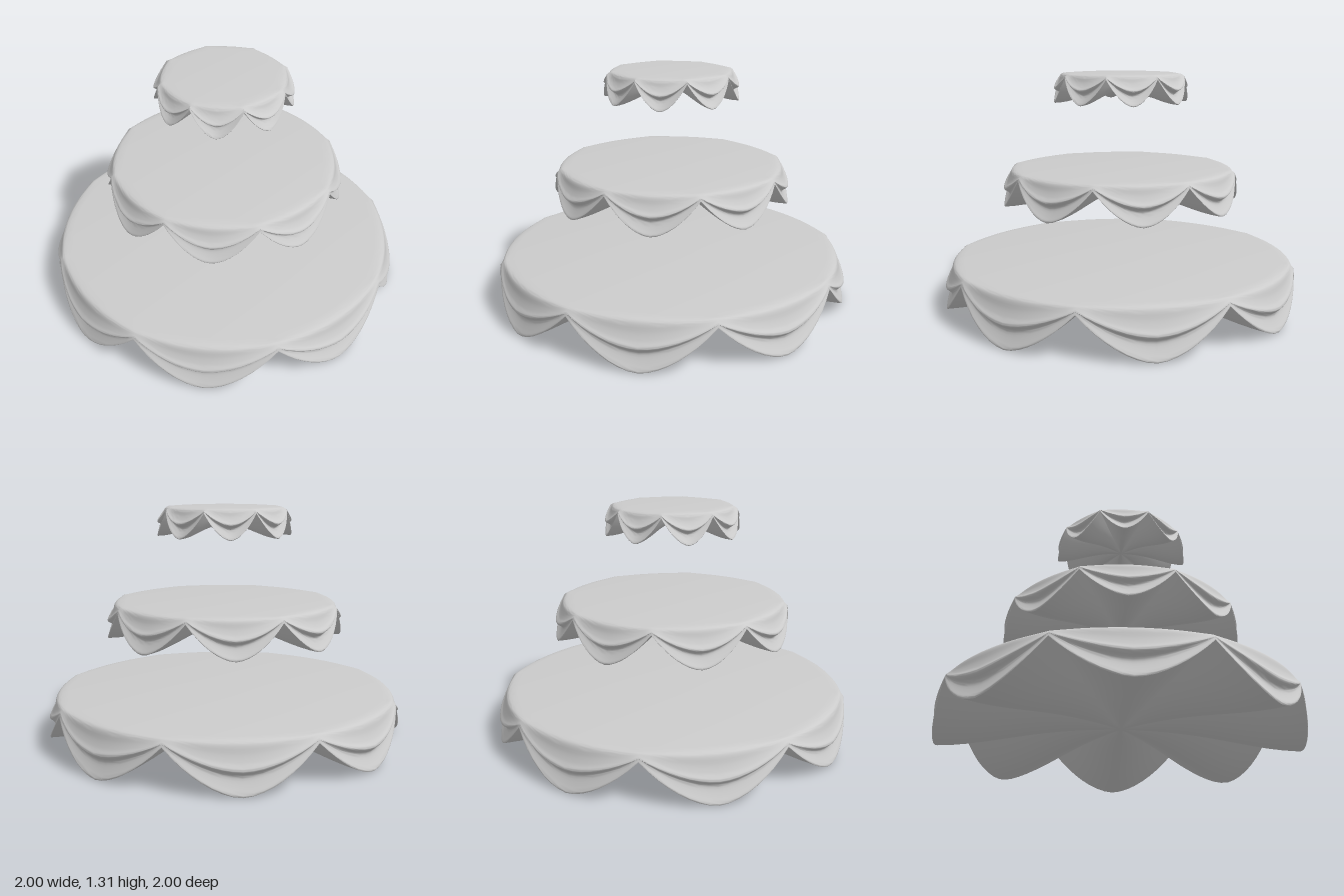
import * as THREE from 'three';
import { toCreasedNormals } from 'three/addons/utils/BufferGeometryUtils.js';

const LOBES = 8, COLS = LOBES * 16, WALL = 32, UNDER = 12;
const curve = pts => new THREE.SplineCurve(pts.map(p => new THREE.Vector2(...p)));

// Wall profiles: [fraction of the way from top to hem, offset from tier radius]
const lobeWall = curve([[0, -.075], [.03, -.052], [.1, -.04], [.25, -.032], [.4, -.016], [.48, -.001],
  [.54, -.003], [.62, -.027], [.7, -.031], [.85, -.015], [.96, 0], [1, -.003]]);
const notchWall = curve([[0, -.075], [.03, -.052], [.1, -.04], [.25, -.032], [.4, -.026], [.48, -.023],
  [.54, -.021], [.62, -.02], [.7, -.02], [.85, -.018], [.96, -.017], [1, -.017]]);

// Sweep rows of points around the axis; pointAt(row, u) gives [radius, y],
// with u = 0 at the middle of a lobe and 1 at the notch between two lobes
function sweep(rows, pointAt) {
  const pos = [], index = [];
  for (let i = 0; i < rows; i++) {
    for (let j = 0; j < COLS; j++) {
      const a = j / COLS * Math.PI * 2, s = j / COLS * LOBES;
      const [r, y] = pointAt(i, 2 * Math.abs(s - Math.round(s)));
      pos.push(r * Math.sin(a), y, r * Math.cos(a));
      if (i === rows - 1) continue;
      const k = (j + 1) % COLS, p = i * COLS, q = p + COLS;
      // leave out the collapsed triangles at either pole
      if (pointAt(i + 1, 0)[0] > 0) index.push(p + j, q + j, q + k);
      if (pointAt(i, 0)[0] > 0) index.push(p + j, q + k, p + k);
    }
  }
  const g = new THREE.BufferGeometry();
  g.setAttribute('position', new THREE.Float32BufferAttribute(pos, 3));
  g.setIndex(index);
  return toCreasedNormals(g, 0.75);
}

function makeTier(name, R, base, height) {
  const hem = u => 0.84 * Math.pow(u, 1.7);
  const wall = (t, u) => {
    const a = lobeWall.getPoint(t), b = notchWall.getPoint(t), w = u * u;
    const down = THREE.MathUtils.lerp(a.x, b.x, w);
    const drop = 0.012 + down * (0.988 - hem(u));
    return [R + THREE.MathUtils.lerp(a.y, b.y, w), base + height * (1 - drop)];
  };

  // Flat top, rounded shoulder and hanging swags
  const cloth = sweep(WALL + 3, (i, u) => {
    if (i === 0) return [0, base + height];
    if (i === 1) return [R - 0.105, base + height];
    return wall((i - 2) / WALL, u);
  });

  // Closed underside, fanning from the hem up to the centre
  const underside = sweep(UNDER + 1, (i, u) => {
    const f = 1 - i / UNDER;
    const low = 0.36 * (0.5 + 0.5 * Math.cos(Math.PI * Math.pow(f, 1.3)));
    const high = THREE.MathUtils.lerp(0.36, 0.84, f);
    const y = THREE.MathUtils.lerp(low, high, Math.pow(u, 1.7));
    return [wall(1, u)[0] * f, base + height * y];
  });

  const material = new THREE.MeshStandardMaterial({ color: 0xcccccc, side: THREE.DoubleSide });
  const tier = new THREE.Group();
  tier.name = name;
  for (const [part, geometry] of [['drapedCloth', cloth], ['underside', underside]]) {
    const mesh = new THREE.Mesh(geometry, material);
    mesh.name = part;
    tier.add(mesh);
  }
  return tier;
}

export function createModel() {
  const model = new THREE.Group();
  model.name = 'tieredDrapes';
  model.add(
    makeTier('bottomTier', 1, 0, 0.27),
    makeTier('middleTier', 0.663, 0.57, 0.215),
    makeTier('topTier', 0.375, 1.145, 0.165)
  );
  return model;
}
